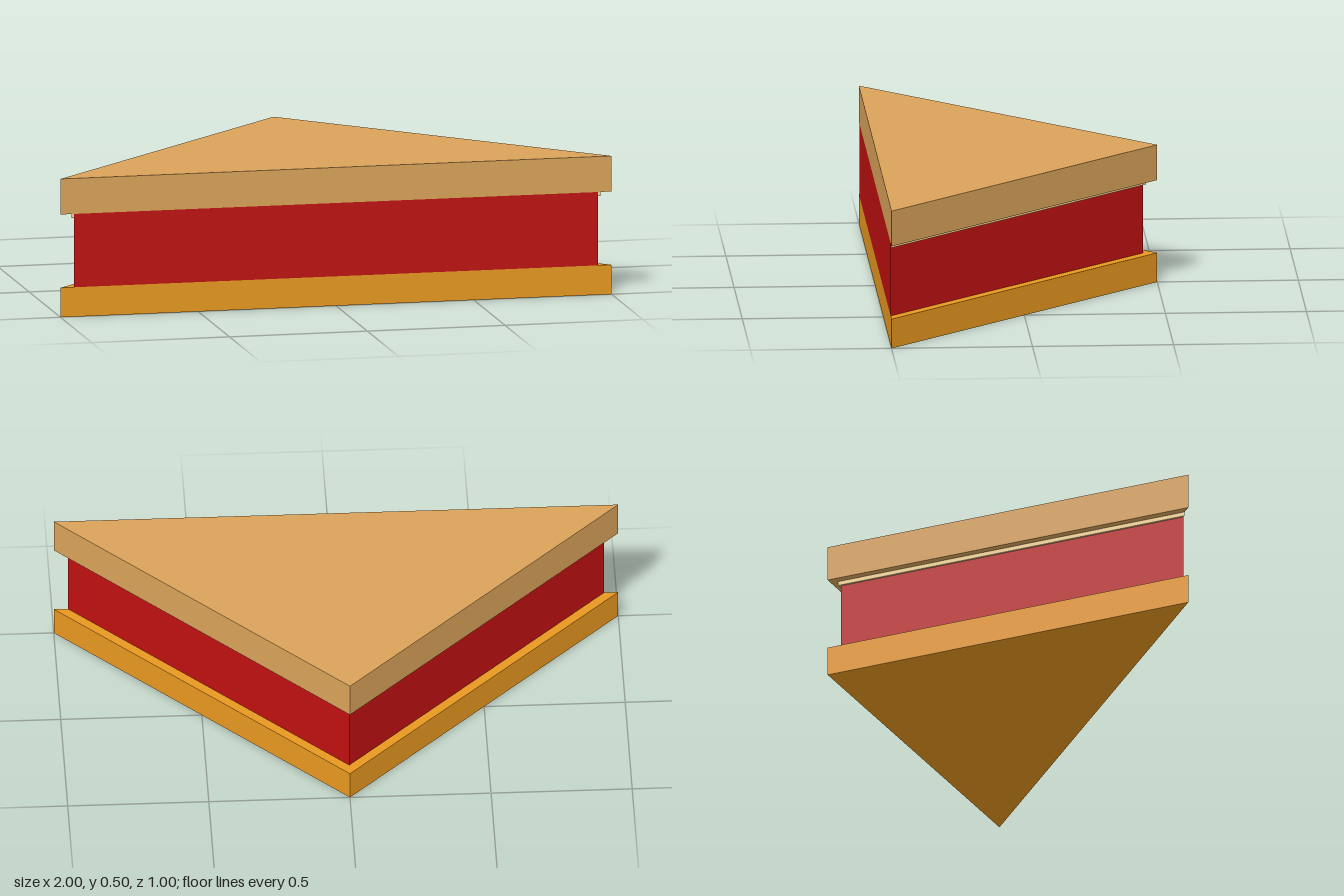
import * as THREE from 'three';

// Triangular slab: half width and back point are given by the leg size; right angle at the back
function slab(name, half, y0, y1, color, front = 0.5) {
  const shape = new THREE.Shape();
  shape.moveTo(-half, -front);
  shape.lineTo(half, -front);
  shape.lineTo(0, half - front);
  shape.closePath();
  const geometry = new THREE.ExtrudeGeometry(shape, { depth: y1 - y0, bevelEnabled: false });
  geometry.rotateX(-Math.PI / 2);
  const mesh = new THREE.Mesh(geometry, new THREE.MeshStandardMaterial({ color }));
  mesh.position.y = y0;
  mesh.name = name;
  return mesh;
}

export function createModel() {
  const group = new THREE.Group();
  group.name = 'sandwich';
  group.add(
    slab('bottomBread', 1, 0, 0.106, 0xe8981f),
    slab('filling', 0.95, 0.106, 0.37, 0xc01010),
    // Thin spread, peeking out under the top slice; its cut face sits just behind the filling's
    slab('spread', 0.96, 0.355, 0.37, 0xf5d596, 0.499),
    slab('topBread', 1, 0.37, 0.498, 0xd9a259)
  );
  return group;
}
